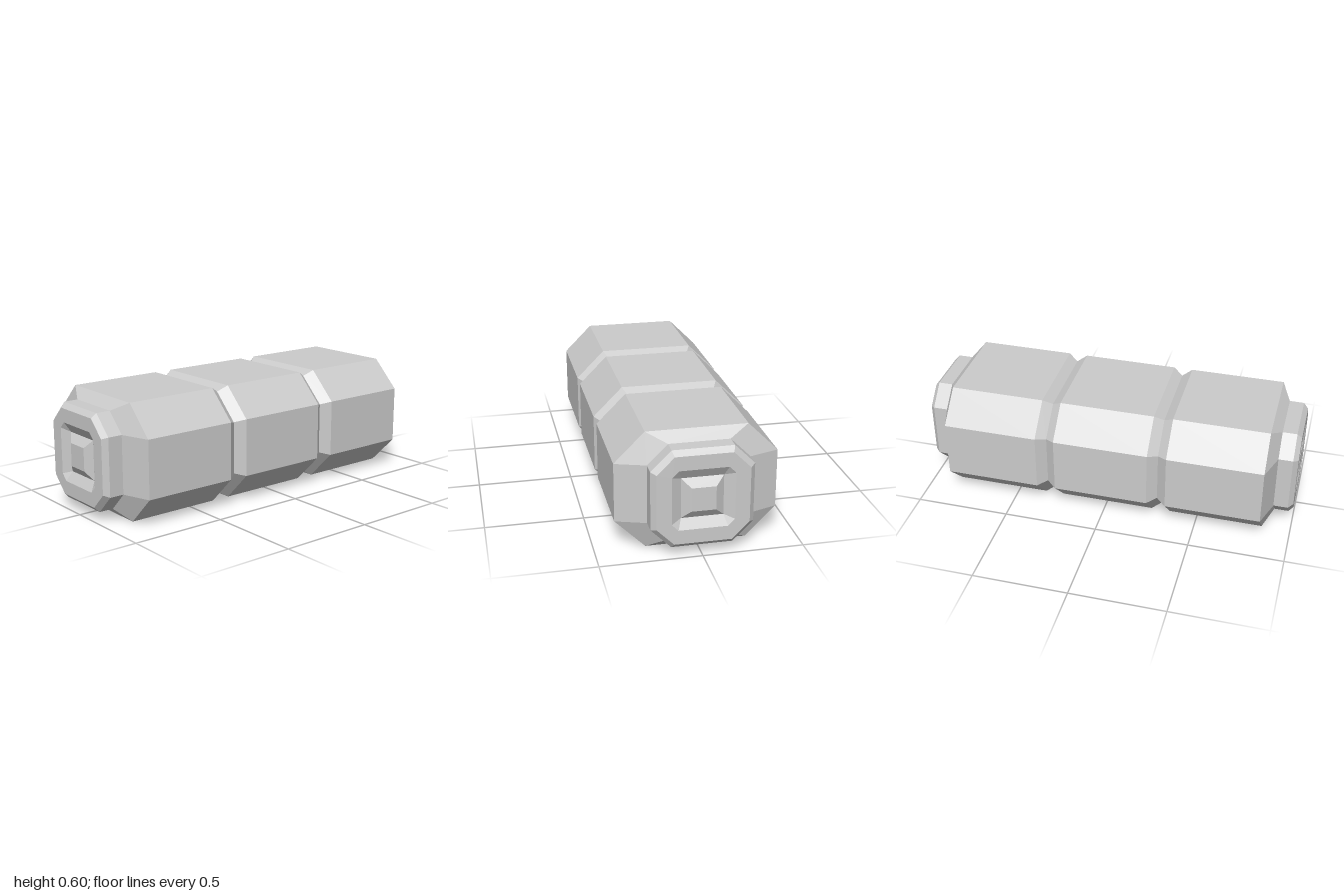
import * as THREE from 'three';

const MID_Y = 0.3;

// Eight-sided ring at x: half height hy, half depth hz, corners cut back to cy / cz.
// Runs counter-clockwise as seen from +x.
function ring([x, hy, hz, cy, cz]) {
  return [[-cy, -hz], [cy, -hz], [hy, -cz], [hy, cz], [cy, hz], [-cy, hz], [-hy, cz], [-hy, -cz]]
    .map(([y, z]) => new THREE.Vector3(x, MID_Y + y, z));
}

// Flat-sided skin through a row of rings, optionally closed at the last one.
function loft(sections, closeEnd = false) {
  const rings = sections.map(ring);
  const pos = [];
  const tri = (a, b, c) => {
    if (a.distanceTo(b) < 1e-6 || b.distanceTo(c) < 1e-6 || c.distanceTo(a) < 1e-6) return;
    for (const p of [a, b, c]) pos.push(p.x, p.y, p.z);
  };
  for (let s = 0; s < rings.length - 1; s++) {
    const a = rings[s], b = rings[s + 1];
    for (let i = 0; i < 8; i++) {
      const j = (i + 1) % 8;
      tri(a[i], a[j], b[j]);
      tri(a[i], b[j], b[i]);
    }
  }
  if (closeEnd) {
    const last = rings[rings.length - 1];
    for (let i = 1; i < 7; i++) tri(last[0], last[i], last[i + 1]);
  }
  const geo = new THREE.BufferGeometry();
  geo.setAttribute('position', new THREE.Float32BufferAttribute(pos, 3));
  geo.computeVertexNormals();
  return geo;
}

export function createModel() {
  const group = new THREE.Group();
  const mat = new THREE.MeshStandardMaterial({ color: 0xcccccc, flatShading: true });
  const add = (name, geo) => {
    const mesh = new THREE.Mesh(geo, mat);
    mesh.name = name;
    group.add(mesh);
    return mesh;
  };

  const neck = (x) => [x, 0.25, 0.25, 0.15, 0.15];
  const full = (x) => [x, 0.3, 0.4, 0.15, 0.25];
  const groove = (x) => [x, 0.27, 0.36, 0.135, 0.225];

  // Three barrel segments parted by V grooves, tapering to a neck at each end
  add('body', loft([
    neck(-0.9), full(-0.85),
    full(-0.35), groove(-0.3), full(-0.25),
    full(0.25), groove(0.3), full(0.35),
    full(0.85), neck(0.9),
  ]));

  // End cap: bevelled rim, shallow recess, then a raised square boss
  const capGeo = loft([
    neck(0.9),
    neck(0.975),
    [1, 0.225, 0.225, 0.14, 0.14],
    [1, 0.153, 0.153, 0.12, 0.12],
    [0.97, 0.103, 0.103, 0.103, 0.103],
    [1, 0.06, 0.06, 0.06, 0.06],
  ], true);
  add('leftEndCap', capGeo);
  add('rightEndCap', capGeo).rotation.y = Math.PI;

  return group;
}
